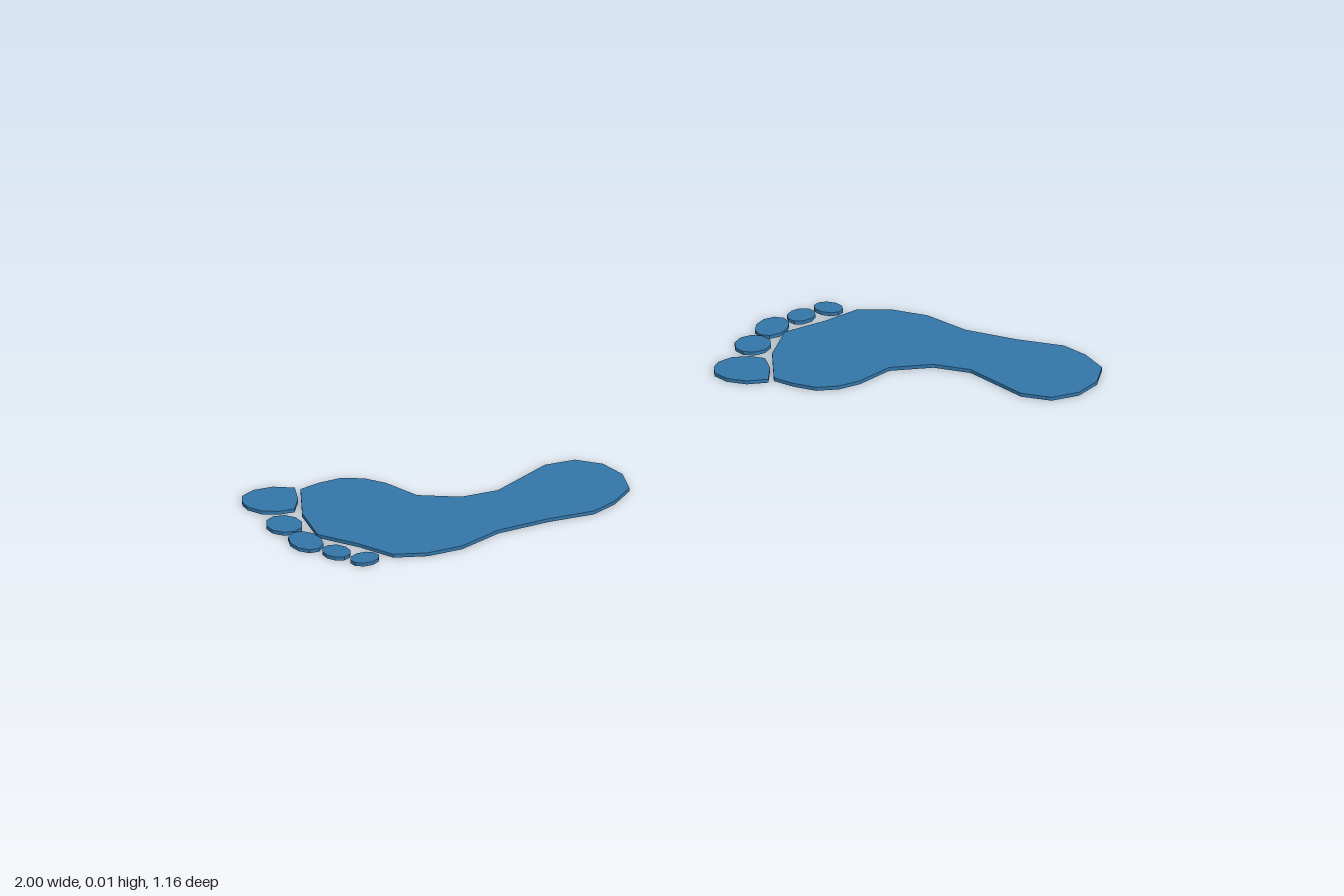
import * as THREE from 'three';

const THICKNESS = 0.009;

// Outline of one sole, as [x, distance from the centre line]
const SOLE = [
  [0.243, 0.347], [0.275, 0.443], [0.371, 0.491], [0.446, 0.54], [0.526, 0.536], [0.606, 0.507],
  [0.692, 0.438], [0.809, 0.39], [0.916, 0.358], [0.964, 0.315], [1.0, 0.256], [0.986, 0.192],
  [0.943, 0.144], [0.879, 0.123], [0.809, 0.144], [0.75, 0.203], [0.697, 0.256], [0.612, 0.283],
  [0.51, 0.272], [0.441, 0.214], [0.393, 0.192], [0.339, 0.187], [0.286, 0.208], [0.243, 0.235],
];

const BIG_TOE = [
  [0.107, 0.262], [0.107, 0.29], [0.118, 0.312], [0.15, 0.332], [0.19, 0.335], [0.226, 0.325],
  [0.236, 0.28], [0.23, 0.228], [0.18, 0.222], [0.135, 0.235],
];

// Small toes: centre x, centre distance, two radii, tilt
const SMALL_TOES = [
  [0.2, 0.392, 0.044, 0.039, 0.4],
  [0.247, 0.47, 0.047, 0.036, 0.9],
  [0.316, 0.52, 0.035, 0.028, 0.5],
  [0.38, 0.552, 0.035, 0.025, -0.3],
];

function ellipse([cx, cy, a, b, tilt], sides = 10) {
  return Array.from({ length: sides }, (_, i) => {
    const t = (i / sides) * Math.PI * 2;
    const u = a * Math.cos(t), v = b * Math.sin(t);
    return [cx + u * Math.cos(tilt) - v * Math.sin(tilt), cy + u * Math.sin(tilt) + v * Math.cos(tilt)];
  });
}

// Flat plate lying on the ground; side -1 mirrors the outline front to back
function plate(name, outline, side, material) {
  const shape = new THREE.Shape(outline.map(([x, d]) => new THREE.Vector2(x, d * side)));
  const geometry = new THREE.ExtrudeGeometry(shape, { depth: THICKNESS, bevelEnabled: false });
  geometry.rotateX(-Math.PI / 2);
  const mesh = new THREE.Mesh(geometry, material);
  mesh.name = name;
  return mesh;
}

function footprint(name, side, material) {
  const foot = new THREE.Group();
  foot.name = name;
  foot.add(plate('sole', SOLE, side, material), plate('bigToe', BIG_TOE, side, material));
  SMALL_TOES.forEach((toe, i) => foot.add(plate(`smallToe${i + 1}`, ellipse(toe), side, material)));
  return foot;
}

export function createModel() {
  const model = new THREE.Group();
  model.name = 'footprints';
  const blue = new THREE.MeshStandardMaterial({ color: 0x3377aa });

  // Back print, and its mirrored partner one step ahead
  const back = footprint('backFootprint', 1, blue);
  const front = footprint('frontFootprint', -1, blue);
  front.position.x = -1.107;
  model.add(back, front);
  return model;
}
